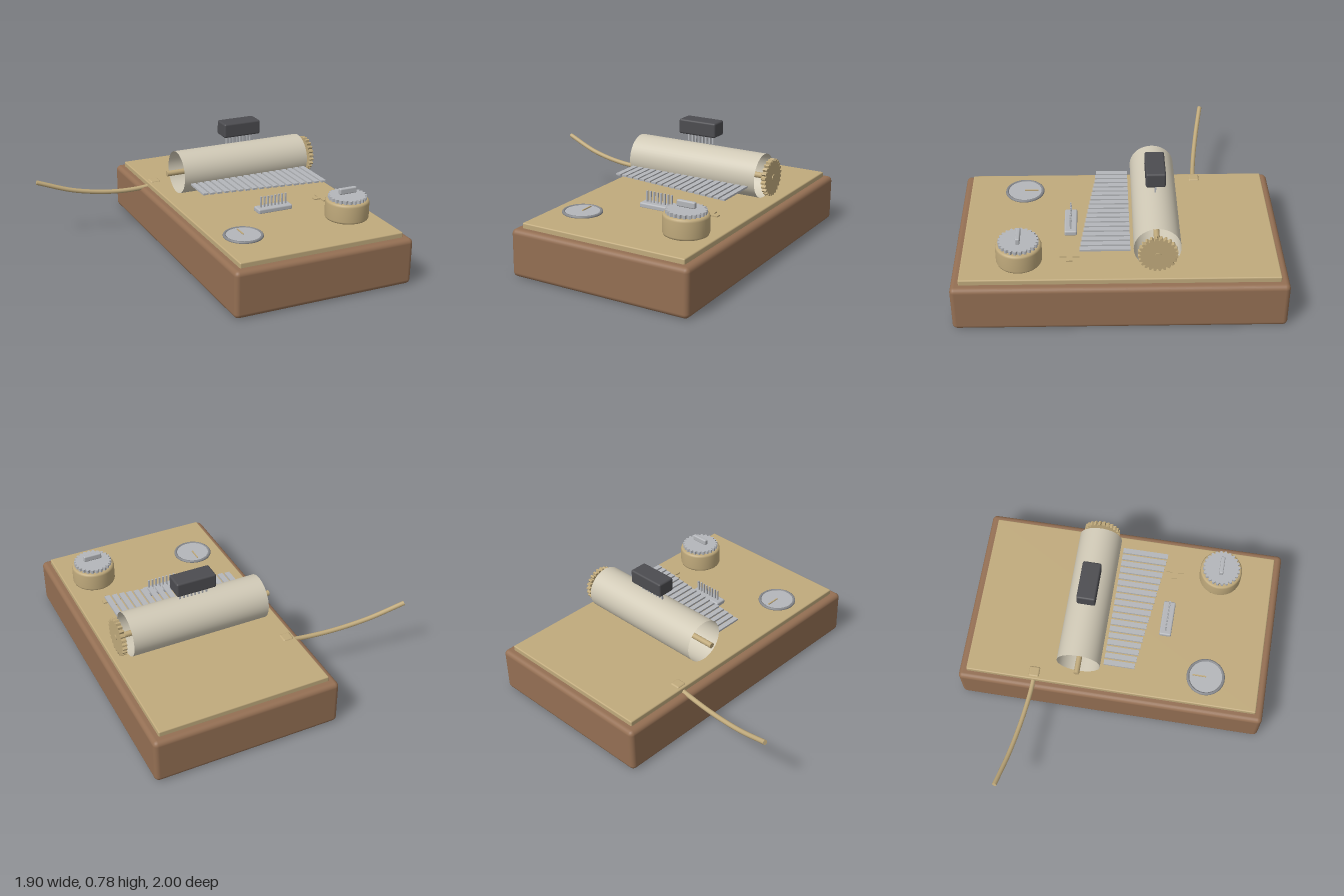
import * as THREE from 'three';
import { RoundedBoxGeometry } from 'three/addons/geometries/RoundedBoxGeometry.js';

const material = (name, color, side = THREE.FrontSide) =>
  Object.assign(new THREE.MeshStandardMaterial({ color, side }), { name });

export function createModel() {
  const wood = material('wood', 0x946f53);
  const brass = material('brass', 0xc0aa7c);
  const ivory = material('ivory drum', 0xd0c9b6, THREE.DoubleSide);
  const steel = material('steel', 0xb4b6ba);
  const darkSteel = material('dark steel', 0x85878b);
  const black = material('black plastic', 0x4c4c50);

  const model = new THREE.Group();
  const add = (name, geometry, mat, x = 0, y = 0, z = 0, parent = model) => {
    const mesh = new THREE.Mesh(geometry, mat);
    mesh.name = name;
    mesh.position.set(x, y, z);
    parent.add(mesh);
    return mesh;
  };
  const group = (name) => {
    const g = new THREE.Group();
    g.name = name;
    model.add(g);
    return g;
  };
  const rounded = (w, h, d, r) => new RoundedBoxGeometry(w, h, d, 3, r);

  // Toothed wheel in the XY plane, centred on its thickness
  const gear = (teeth, outer, inner, depth) => {
    const shape = new THREE.Shape();
    const step = (Math.PI * 2) / teeth;
    for (let i = 0; i < teeth; i++) {
      [[0, inner], [0.25, outer], [0.6, outer], [0.85, inner]].forEach(([t, r], k) => {
        const a = (i + t) * step;
        const p = [Math.cos(a) * r, Math.sin(a) * r];
        if (i + k === 0) shape.moveTo(...p);
        else shape.lineTo(...p);
      });
    }
    shape.closePath();
    return new THREE.ExtrudeGeometry(shape, { depth, bevelEnabled: false }).translate(0, 0, -depth / 2);
  };

  // Row of eight pins
  const pins = (name, y, height, z) => {
    const row = group(name);
    for (let i = 0; i < 8; i++) {
      add('pin', new THREE.BoxGeometry(0.01, height, 0.01), steel, 0.35 + (i - 3.5) * 0.025, y, z, row);
    }
  };

  // Case and top plate
  add('woodenBase', rounded(1.2, 0.3, 2, 0.03), wood, 0.35, 0.15, 0);
  add('topPlate', rounded(1.1, 0.04, 1.9, 0.008), brass, 0.35, 0.313, 0);

  // Open drum on its shaft, with a drive gear
  const drumY = 0.48, drumZ = -0.22;
  add('drum', new THREE.CylinderGeometry(0.14, 0.14, 0.9, 48, 1, true).rotateZ(Math.PI / 2), ivory, 0.35, drumY, drumZ);
  add('shaft', new THREE.CylinderGeometry(0.018, 0.018, 1.04, 16).rotateZ(Math.PI / 2), brass, 0.35, drumY, drumZ);
  add('driveGear', gear(24, 0.118, 0.103, 0.03).rotateY(Math.PI / 2), brass, 0.85, drumY, drumZ);

  // Comb of reeds, growing longer towards +x
  const comb = group('comb');
  for (let i = 0; i < 18; i++) {
    const length = 0.2 + (0.1 * i) / 17;
    add('reed', new THREE.BoxGeometry(0.034, 0.012, length), steel,
      -0.05 + i * 0.047, 0.443, -0.062 + length / 2, comb);
  }

  // Chip above the drum
  add('chip', rounded(0.26, 0.095, 0.12, 0.012), black, 0.35, 0.735, drumZ);
  pins('chipPins', 0.66, 0.06, drumZ);

  // Socket with upright pins
  add('socket', rounded(0.24, 0.035, 0.078, 0.01), steel, 0.35, 0.345, 0.297);
  pins('socketPins', 0.395, 0.075, 0.297);

  // Thin cross
  const cross = group('cross');
  add('crossBarX', new THREE.BoxGeometry(0.12, 0.008, 0.036), brass, 0.7, 0.36, 0.3, cross);
  [-1, 1].forEach((s) =>
    add('crossBarZ', new THREE.BoxGeometry(0.036, 0.008, 0.042), brass, 0.7, 0.36, 0.3 + s * 0.039, cross));

  // Dial
  add('dialFace', new THREE.CylinderGeometry(0.112, 0.112, 0.012, 48), steel, -0.01, 0.335, 0.6);
  add('dialRing', new THREE.TorusGeometry(0.115, 0.01, 10, 48).rotateX(Math.PI / 2), darkSteel, -0.01, 0.336, 0.6);
  add('dialNeedle', new THREE.BoxGeometry(0.008, 0.006, 0.09), brass, -0.01, 0.344, 0.558);

  // Winding knob: rounded brass body, toothed disc and grip
  const body = [[0, 0.333], [0.122, 0.333], [0.133, 0.338], [0.138, 0.35], [0.138, 0.445], [0.133, 0.457], [0.122, 0.462], [0, 0.462]]
    .map(([r, y]) => new THREE.Vector2(r, y));
  add('knobBody', new THREE.LatheGeometry(body, 48), brass, 0.71, 0, 0.6);
  add('knobDisc', gear(24, 0.122, 0.109, 0.024).rotateX(Math.PI / 2), steel, 0.71, 0.472, 0.6);
  add('knobGrip', rounded(0.12, 0.04, 0.027, 0.008), steel, 0.71, 0.513, 0.6);

  // Cable and its plug
  const path = new THREE.CatmullRomCurve3([
    [-0.945, 0.405, -0.605], [-0.705, 0.328, -0.562], [-0.45, 0.291, -0.527],
    [-0.25, 0.293, -0.508], [-0.15, 0.308, -0.505],
  ].map((p) => new THREE.Vector3(...p)));
  add('cable', new THREE.TubeGeometry(path, 32, 0.015, 10), brass);
  const [end, tangent] = [path.getPoint(0), path.getTangent(0)];
  add('cableEnd', new THREE.CircleGeometry(0.015, 10), brass, end.x, end.y, end.z)
    .quaternion.setFromUnitVectors(new THREE.Vector3(0, 0, 1), tangent.negate());
  add('plug', rounded(0.072, 0.07, 0.07, 0.012), brass, -0.15, 0.306, -0.505);

  return model;
}
